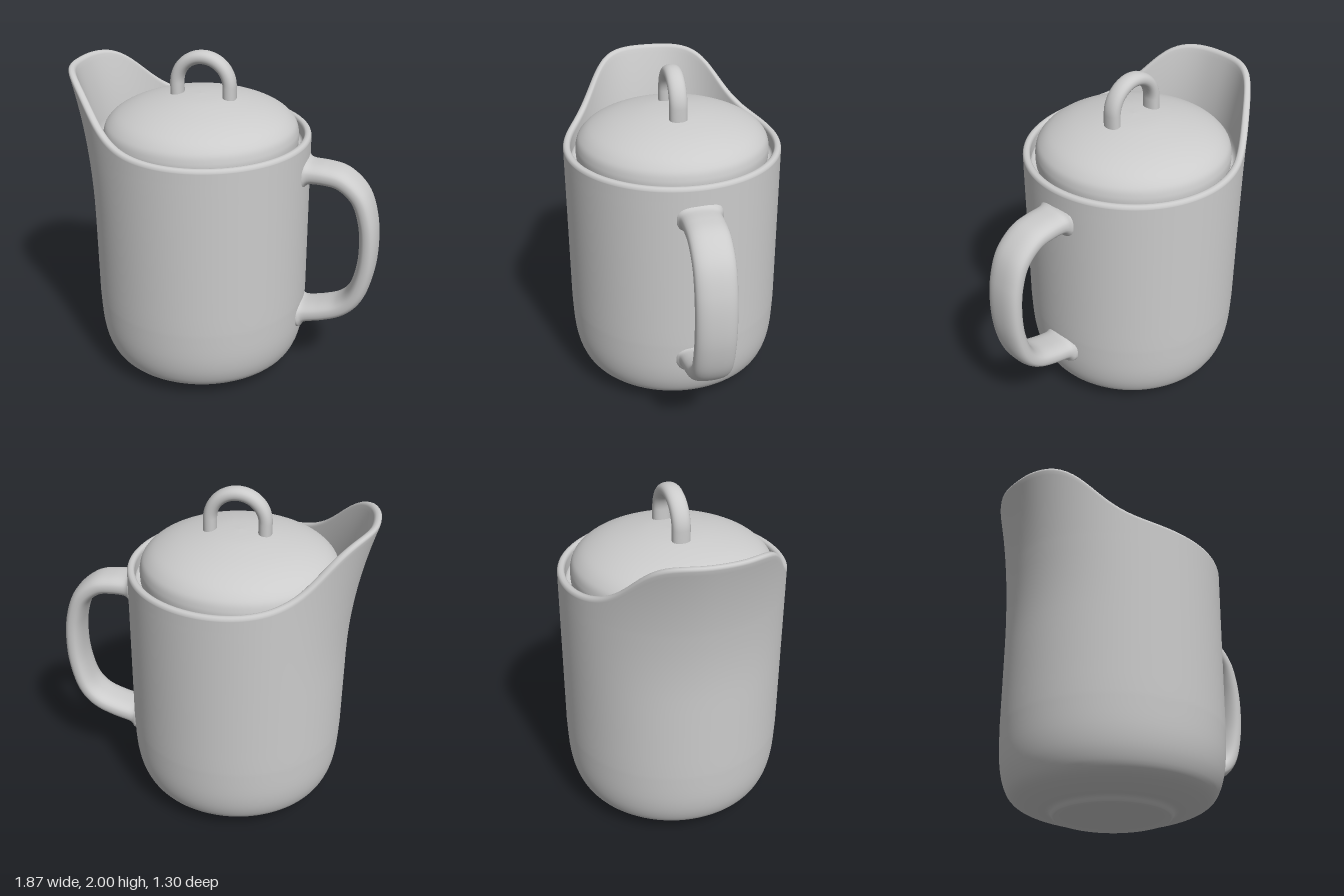
import * as THREE from 'three';
import { mergeVertices } from 'three/addons/utils/BufferGeometryUtils.js';

const CENTER_X = -0.155;
const RIM = 1.525;
const material = new THREE.MeshStandardMaterial({ color: 0xcccccc, roughness: 0.6, side: THREE.DoubleSide });

const v2 = (pts) => pts.map(([x, y]) => new THREE.Vector2(x, y));
const spline = (pts, n) => new THREE.SplineCurve(v2(pts)).getPoints(n);
const line = (x0, y0, x1, y1, n) =>
  Array.from({ length: n + 1 }, (_, i) => new THREE.Vector2(x0 + ((x1 - x0) * i) / n, y0 + ((y1 - y0) * i) / n));

function addMesh(group, name, geometry) {
  const mesh = new THREE.Mesh(geometry, material);
  mesh.name = name;
  group.add(mesh);
  return mesh;
}

// Jug wall: a turned profile whose rim is lifted and flared towards -x
function jugGeometry() {
  const profile = [
    ...v2([[0, 0.012], [0.29, 0.012], [0.305, 0.003], [0.325, 0], [0.338, 0.004], [0.343, 0.018]]),
    ...spline([[0.36, 0.03], [0.45, 0.043], [0.56, 0.09], [0.612, 0.17], [0.64, 0.3], [0.65, 0.5]], 24),
    ...line(0.65, 0.6, 0.65, 1.44, 10),
    ...line(0.65, 1.445, 0.65, 1.505, 16),
    ...v2([[0.647, 1.515], [0.64, 1.522], [0.628, RIM], [0.616, 1.522], [0.609, 1.515]]),
    ...line(0.607, 1.505, 0.605, 1.445, 16),
    // seat for the lid, then the inside down to the floor
    ...v2([[0.597, 1.432], [0.58, 1.428], [0.555, 1.425], [0.55, 1.41], [0.585, 1.36], [0.6, 1.3], [0.6, 0.4]]),
    ...spline([[0.59, 0.28], [0.54, 0.15], [0.42, 0.1], [0, 0.09]], 12),
  ];
  let geometry = new THREE.LatheGeometry(profile, 128);
  const pos = geometry.attributes.position;
  for (let i = 0; i < pos.count; i++) {
    const x = pos.getX(i), z = pos.getZ(i), r = Math.hypot(x, z);
    if (r < 0.001) continue;
    const angle = THREE.MathUtils.radToDeg(Math.abs(Math.atan2(z, -x)));
    const lift = 0.365 / (1 + (angle / 40) ** 4.5);
    const flare = 0.13 * (1 - THREE.MathUtils.smoothstep(angle, 5, 62));
    const y = pos.getY(i) + lift * THREE.MathUtils.clamp((pos.getY(i) - 1.44) / 0.065, 0, 1);
    const k = (r + flare * (Math.max(0, y - 1) / 0.87) ** 2) / r;
    pos.setXYZ(i, x * k, y, z * k);
  }
  geometry.deleteAttribute('uv');
  geometry.deleteAttribute('normal');
  geometry = mergeVertices(geometry, 1e-5);
  geometry.computeVertexNormals();
  return geometry;
}

// Sweeps a rounded oval along a path in the xy plane; size(p, t) gives [half thickness, half width]
function sweep(points, size, power, sides = 32) {
  const positions = [], index = [];
  const bend = (v) => Math.sign(v) * Math.abs(v) ** power;
  points.forEach((p, i) => {
    const a = points[Math.max(0, i - 1)], b = points[Math.min(points.length - 1, i + 1)];
    const t = b.clone().sub(a).normalize();
    const [h, w] = size(p, i / (points.length - 1));
    for (let j = 0; j < sides; j++) {
      const ang = (j / sides) * Math.PI * 2;
      const n = h * bend(Math.cos(ang));
      positions.push(p.x - t.y * n, p.y + t.x * n, w * bend(Math.sin(ang)));
      if (i < points.length - 1) {
        const q = i * sides + j, r = i * sides + ((j + 1) % sides);
        index.push(q, r, q + sides, r, r + sides, q + sides);
      }
    }
  });
  const geometry = new THREE.BufferGeometry();
  geometry.setAttribute('position', new THREE.Float32BufferAttribute(positions, 3));
  geometry.setIndex(index);
  geometry.computeVertexNormals();
  return geometry;
}

export function createModel() {
  const model = new THREE.Group();
  model.name = 'lidded jug';

  addMesh(model, 'jugBody', jugGeometry()).position.x = CENTER_X;

  // Domed lid with a short straight edge
  const lidProfile = [
    ...v2([[0, 1.43], [0.55, 1.43], [0.568, 1.436], [0.575, 1.45]]),
    ...spline([[0.577, 1.48], [0.575, 1.53], [0.553, 1.585], [0.485, 1.642], [0.355, 1.695], [0.17, 1.734], [0, 1.745]], 40),
  ];
  addMesh(model, 'lid', new THREE.LatheGeometry(lidProfile, 96)).position.x = CENTER_X;

  // Arched lid loop
  const loop = [new THREE.Vector2(-0.3, 1.69), new THREE.Vector2(-0.3, 1.75)];
  for (let i = 0; i <= 32; i++) {
    const a = Math.PI * (1 - i / 32);
    loop.push(new THREE.Vector2(-0.14 + 0.16 * Math.cos(a), 1.8 + 0.16 * Math.sin(a)));
  }
  loop.push(new THREE.Vector2(0.02, 1.75), new THREE.Vector2(0.02, 1.69));
  addMesh(model, 'lidLoop', sweep(loop, () => [0.039, 0.053], 0.9, 24));

  // Broad handle, flaring softly where it meets the wall
  const handlePath = spline([
    [0.46, 1.333], [0.6, 1.334], [0.71, 1.31], [0.81, 1.22], [0.862, 1.08], [0.88, 0.92],
    [0.87, 0.75], [0.825, 0.585], [0.745, 0.487], [0.62, 0.432], [0.46, 0.395],
  ], 140);
  const handleSize = (p, t) => {
    const fillet = 0.035 * Math.exp(-Math.max(0, p.x - 0.483) / 0.014);
    const slim = 0.01 * Math.sin(Math.PI * t);
    return [0.064 - slim + fillet, 0.118 + fillet * 0.5];
  };
  addMesh(model, 'handle', sweep(handlePath, handleSize, 0.8)).position.z = -0.022;

  return model;
}
